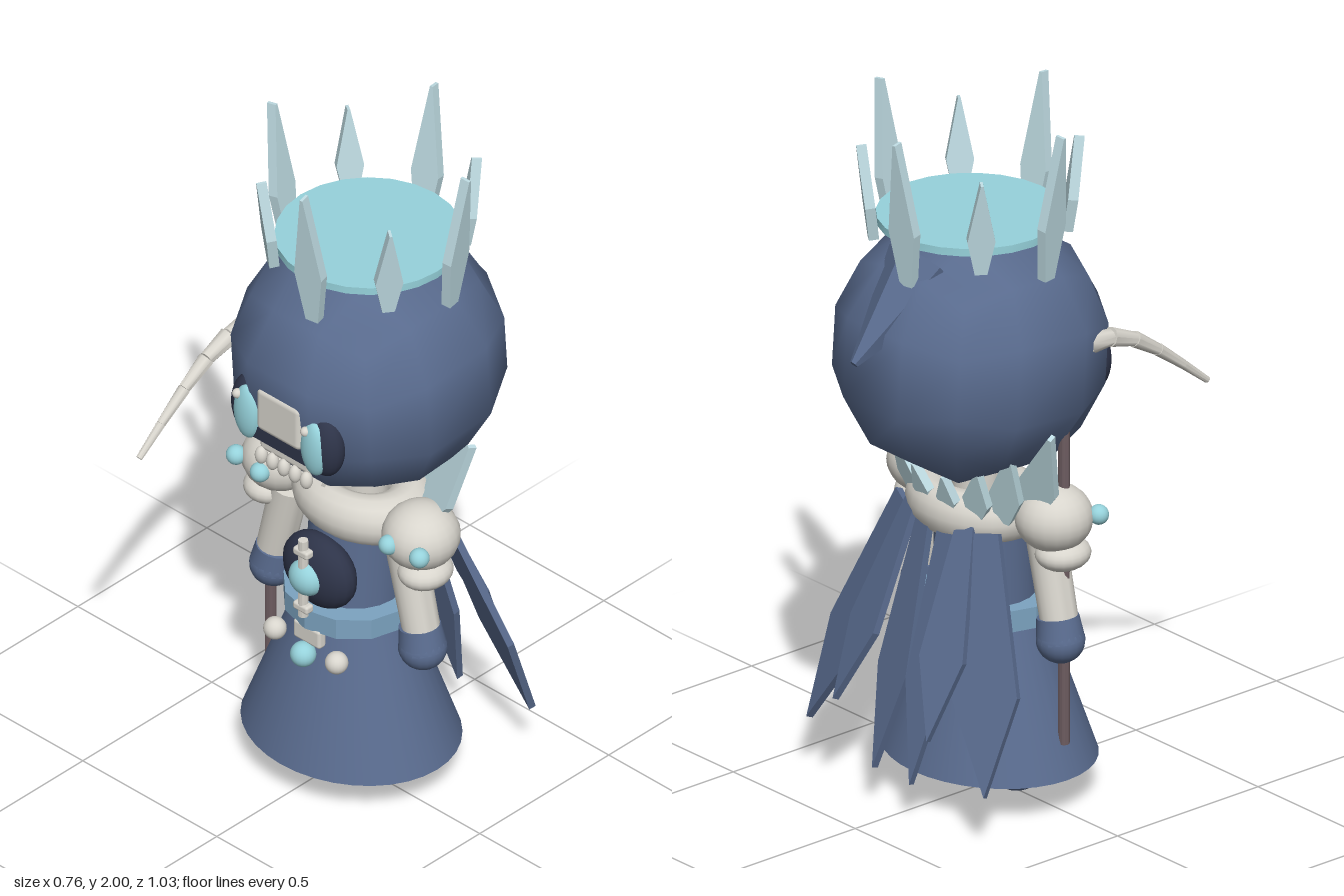
import * as THREE from 'three';
import { toCreasedNormals } from 'three/addons/utils/BufferGeometryUtils.js';
import { RoundedBoxGeometry } from 'three/addons/geometries/RoundedBoxGeometry.js';

const mat = (name, color, side = THREE.FrontSide) => {
  const m = new THREE.MeshStandardMaterial({ color, side });
  m.name = name;
  return m;
};
const navy = mat('navy cloth', 0x596b8e, THREE.DoubleSide);
const dark = mat('dark navy', 0x2e3449);
const bone = mat('bone', 0xd8d5cd);
const aqua = mat('aqua', 0x96d2db);
const ice = mat('pale ice', 0xbfdce3);
const blue = mat('belt blue', 0x7ca3c0);
const brown = mat('staff brown', 0x6e5d61);

const V = (x, y, z) => new THREE.Vector3(x, y, z);

// Flat plate from an outline in half widths and lengths, centred in depth
function plate(outline, w, len, depth) {
  const shape = new THREE.Shape(outline.map(([x, y]) => new THREE.Vector2(x * w, y * len)));
  const geo = new THREE.ExtrudeGeometry(shape, { depth, bevelEnabled: false });
  return geo.translate(0, 0, -depth / 2);
}
const CRYSTAL = [[-0.45, 0], [0.45, 0], [1, 0.37], [0.1, 1], [-0.1, 1], [-1, 0.37]];
const BLADE = [[-0.4, 0], [0.4, 0], [1, 0.62], [0, 1], [-1, 0.62]];

// Coarse cube inflated to a ball, with smooth normals
function cubeBall(r) {
  const geo = new THREE.BoxGeometry(2, 2, 2, 3, 3, 3);
  const { position, normal } = geo.attributes;
  const v = V(0, 0, 0);
  for (let i = 0; i < position.count; i++) {
    v.fromBufferAttribute(position, i).normalize();
    normal.setXYZ(i, v.x, v.y, v.z);
    position.setXYZ(i, v.x * r, v.y * r, v.z * r);
  }
  return geo;
}

export function createModel() {
  const root = new THREE.Group();
  root.name = 'figure';

  function add(name, geo, material, x = 0, y = 0, z = 0, parent = root) {
    const m = new THREE.Mesh(geo, material);
    m.name = name;
    m.position.set(x, y, z);
    parent.add(m);
    return m;
  }
  function ball(name, material, x, y, z, rx, ry = rx, rz = rx) {
    const m = add(name, new THREE.SphereGeometry(1, 20, 14), material, x, y, z);
    m.scale.set(rx, ry, rz);
    return m;
  }
  // Tapered rod between two points
  function rod(name, material, a, b, ra, rb = ra, sides = 12) {
    const d = b.clone().sub(a);
    const geo = toCreasedNormals(new THREE.CylinderGeometry(rb, ra, d.length(), sides), 0.8);
    const m = add(name, geo, material);
    m.position.copy(a).add(b).multiplyScalar(0.5);
    m.quaternion.setFromUnitVectors(V(0, 1, 0), d.normalize());
    return m;
  }
  // Aim local +y from a to b, with local +z close to the given normal
  function aim(m, a, b, normal) {
    const y = b.clone().sub(a).normalize();
    const x = y.clone().cross(normal).normalize();
    const z = x.clone().cross(y);
    m.quaternion.setFromRotationMatrix(new THREE.Matrix4().makeBasis(x, y, z));
    m.position.copy(a);
  }

  // Head and hood tip
  const head = add('head', cubeBall(0.38), navy, 0, 1.305, -0.09);
  head.scale.set(0.977, 0.99, 1.015);
  head.rotation.x = 0.07;
  rod('hoodTip', navy, V(0, 1.575, -0.25), V(0, 1.365, -0.505), 0.12, 0.012, 6);

  // Face
  for (const s of [-1, 1]) {
    ball('eyeSocket', dark, s * 0.138, 1.225, 0.222, 0.062, 0.097, 0.047);
    ball('eye', aqua, s * 0.125, 1.22, 0.25, 0.046, 0.085, 0.028);
    ball('eyeGlint', bone, s * 0.127 - 0.022, 1.275, 0.266, 0.014);
  }
  add('nosePlate', new RoundedBoxGeometry(0.165, 0.14, 0.05, 2, 0.018), bone, 0, 1.26, 0.242);
  add('faceBar', new THREE.BoxGeometry(0.2, 0.04, 0.06), dark, 0, 1.17, 0.226);
  add('upperJaw', new RoundedBoxGeometry(0.19, 0.05, 0.06, 2, 0.015), bone, 0, 1.13, 0.21);
  for (let i = -2; i <= 2; i++) ball('tooth', bone, i * 0.042, 1.09, 0.24, 0.018, 0.027, 0.018);
  const mouth = add('mouth', new THREE.BoxGeometry(0.11, 0.02, 0.02), bone, 0, 1.012, 0.14);
  mouth.rotation.x = 0.9;

  // Crown disc with alternating tall and short crystals
  add('crownDisc', toCreasedNormals(new THREE.CylinderGeometry(0.255, 0.255, 0.022, 24), 0.6), aqua, 0, 1.685, -0.09);
  const tallSpike = plate(CRYSTAL, 0.044, 0.433, 0.028);
  const shortSpike = plate(CRYSTAL, 0.038, 0.275, 0.028);
  for (let i = 0; i < 8; i++) {
    const tall = i % 2 === 0;
    const pivot = new THREE.Group();
    pivot.name = 'crownSpike';
    pivot.position.set(0, 0, -0.09);
    pivot.rotation.y = THREE.MathUtils.degToRad(10 + i * 45);
    root.add(pivot);
    const m = add('spike', tall ? tallSpike : shortSpike, ice, 0, tall ? 1.57 : 1.63, 0.262, pivot);
    m.rotation.x = 0.12;
  }

  // Neck, collar and torso
  rod('neck', bone, V(0, 0.8, -0.07), V(0, 1.0, -0.07), 0.068);
  const collar = add('collar', new THREE.TorusGeometry(0.138, 0.072, 14, 32), bone, 0, 0.847, -0.07);
  collar.rotation.x = Math.PI / 2;
  collar.scale.set(1.02, 0.82, 1);
  rod('torso', navy, V(0, 0.54, -0.035), V(0, 0.85, -0.05), 0.14, 0.13, 20);
  ball('chestShell', dark, 0, 0.68, 0.1, 0.125, 0.112, 0.065);
  rod('breastBar', bone, V(0, 0.56, 0.165), V(0, 0.81, 0.165), 0.014);
  for (const y of [0.59, 0.77]) {
    add('breastStud', new RoundedBoxGeometry(0.055, 0.025, 0.03, 2, 0.008), bone, 0, y, 0.165);
  }
  ball('chestGem', aqua, 0, 0.68, 0.15, 0.055, 0.053, 0.045);

  // Belt and skirt
  const belt = add('belt', toCreasedNormals(new THREE.CylinderGeometry(0.19, 0.19, 0.062, 12), 0.2), blue, 0, 0.545, -0.02);
  belt.scale.z = 0.95;
  const skirt = add('skirt', new THREE.CylinderGeometry(0.165, 0.32, 0.405, 36, 1, true), navy, 0, 0.3125, -0.022);
  skirt.scale.z = 0.855;
  add('buckle', new RoundedBoxGeometry(0.1, 0.06, 0.03, 2, 0.01), bone, 0, 0.49, 0.14);
  for (const s of [-1, 1]) ball('beltBead', bone, s * 0.115, 0.455, 0.155, 0.032);
  ball('beltGem', aqua, 0, 0.432, 0.165, 0.036);

  // Shoulders, arms, legs
  for (const s of [-1, 1]) {
    ball('shoulder', bone, s * 0.262, 0.865, -0.02, 0.107, 0.095, 0.108);
    ball('shoulderPad', bone, s * 0.288, 0.765, -0.01, 0.072, 0.047, 0.08);
    ball('shoulderGem', aqua, s * 0.342, 0.872, 0.07, 0.028);
    ball('shoulderGem', aqua, s * 0.24, 0.872, 0.083, 0.028);
    rod('arm', bone, V(s * 0.215, 0.8, -0.01), V(s * 0.278, 0.54, -0.01), 0.055, 0.052, 18);
    rod('cuff', navy, V(s * 0.266, 0.572, -0.01), V(s * 0.278, 0.505, -0.01), 0.058, 0.067, 18);
    ball('hand', navy, s * 0.278, 0.505, -0.01, 0.067, 0.063, 0.067);
    rod('leg', bone, V(s * 0.085, 0.12, -0.005), V(s * 0.085, 0.4, -0.02), 0.058, 0.058, 16);
    ball('foot', navy, s * 0.085, 0.1, 0.005, 0.083, 0.1, 0.092);
  }

  // Staff with a hooked blade of stepped bone segments
  rod('staff', brown, V(-0.28, 0.2, 0), V(-0.28, 1.34, 0), 0.016);
  const hook = [[0, 1.33], [0.08, 1.35], [0.165, 1.345], [0.25, 1.315], [0.335, 1.26], [0.425, 1.19], [0.51, 1.12]];
  for (let i = 0; i < hook.length - 1; i++) {
    const [z0, y0] = hook[i], [z1, y1] = hook[i + 1];
    const r = 0.038 - i * 0.005;
    rod('hookSegment', bone, V(-0.28, y0, z0), V(-0.28, y1, z1), r, r * 0.72, 10);
  }

  // Ice crystals fanning around the back of the collar: base, tip, half width
  const fan = [
    [V(0.225, 0.87, -0.07), V(0.36, 1.155, -0.115), 0.058],
    [V(0.185, 0.86, -0.13), V(0.255, 1.085, -0.17), 0.048],
    [V(0.125, 0.86, -0.175), V(0.17, 1.02, -0.21), 0.042],
    [V(0.045, 0.86, -0.2), V(0.06, 0.98, -0.235), 0.034],
  ];
  // Cape blades: top, tip, half width
  const cape = [
    [V(0.17, 0.83, -0.18), V(0.36, 0.165, -0.35), 0.1],
    [V(0.11, 0.84, -0.2), V(0.19, 0.29, -0.405), 0.07],
    [V(0.045, 0.84, -0.205), V(0.075, 0.115, -0.365), 0.065],
  ];
  const mirror = (v, s) => V(v.x * s, v.y, v.z);
  for (const s of [-1, 1]) {
    for (const [a, b, w] of fan) {
      const m = add('backCrystal', plate(CRYSTAL, w, a.distanceTo(b), 0.025), ice);
      aim(m, mirror(a, s), mirror(b, s), V(s * a.x * 2, 0, -1).normalize());
    }
    for (const [a, b, w] of cape) {
      const m = add('capeBlade', plate(BLADE, w, a.distanceTo(b), 0.02), navy);
      aim(m, mirror(a, s), mirror(b, s), V(s * a.x * 2.5, 0, -1).normalize());
    }
  }
  return root;
}
